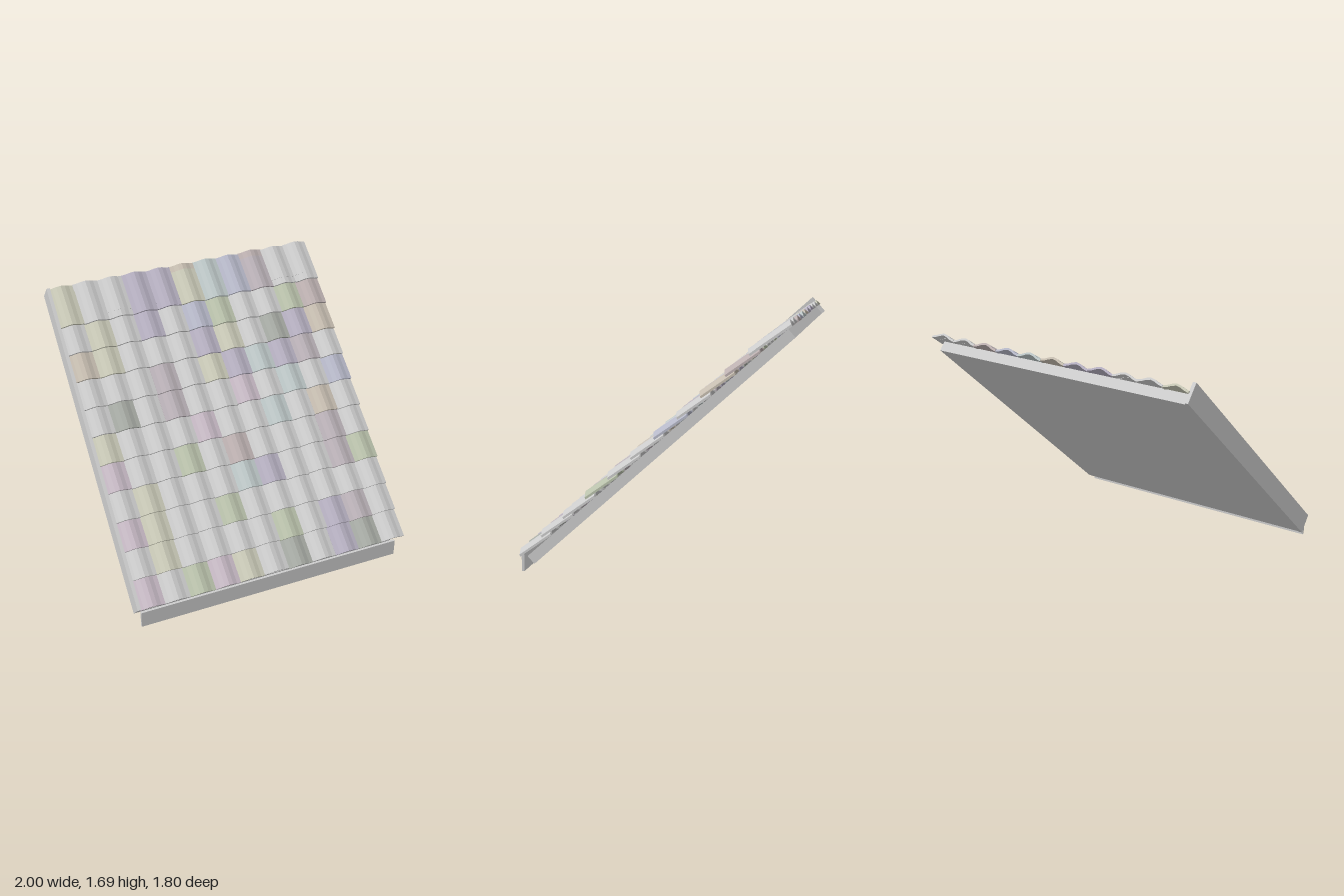
import * as THREE from 'three';

const PITCH = THREE.MathUtils.degToRad(42);
const COLS = 11, TILE_W = 0.18, TILE_L = 0.26, COURSE = 0.2;
const WAVE = 0.028, THICK = 0.014;

const TINTS = {
  w: 0xc9c9c7, y: 0xc8c8b6, g: 0xb9c1ab, p: 0xc6b9c4, v: 0xb5afc0,
  b: 0xb6b8c8, t: 0xc6bdb0, c: 0xbcc6c6, r: 0xbcb0b0, m: 0xb9b0b6, d: 0xa7aba4,
};

// tile tints, one string per course from eave to ridge
const COURSES = [
  'pwgpywdwvdw', 'wywwwwgwvmw', 'pywwgwwwwww', 'wywwwcvwwmg',
  'pwwgwrwwwmw', 'ywwwpwwcwtw', 'wdwmwwpwcwb', 'wwwmwyvcvmw',
  'tywwwvywdvt', 'wywvwbgwwgr', 'ywwvvycbmww', 'ywwvvtcbrww',
];

function seeded(seed) {
  return () => (seed = (seed * 16807) % 2147483647) / 2147483647;
}

function box(name, w, h, d, x, y, z) {
  const mesh = new THREE.Mesh(
    new THREE.BoxGeometry(w, h, d),
    new THREE.MeshStandardMaterial({ color: 0xcccccc })
  );
  mesh.name = name;
  mesh.position.set(x, y, z);
  return mesh;
}

// wavy cross-section pushed back along the slope; the crest sits at y = 0
function tileGeometry() {
  const steps = 6, w = TILE_W + 0.002, top = [];
  for (let i = 0; i <= steps; i++) {
    const u = i / steps;
    top.push(new THREE.Vector2((u - 0.5) * w, -WAVE / 2 * (1 + Math.cos(u * Math.PI * 2))));
  }
  const bottom = top.map((p) => new THREE.Vector2(p.x, p.y - THICK)).reverse();
  const geometry = new THREE.ExtrudeGeometry(new THREE.Shape([...top, ...bottom]), {
    depth: TILE_L, bevelEnabled: false,
  });
  return geometry.translate(0, 0, -TILE_L);
}

export function createModel() {
  const model = new THREE.Group();
  model.name = 'roofSection';

  // sloped frame: -z runs up the roof, y is the roof normal
  const slope = new THREE.Group();
  slope.name = 'slope';
  slope.position.set(0, 0.155, 0.892);
  slope.rotation.x = PITCH;
  model.add(slope);

  // deck and the board along the gable edge
  slope.add(box('deck', 1.895, 0.068, 2.265, -0.0275, -0.104, -1.1325));
  slope.add(box('gableBoard', 0.024, 0.14, 2.29, -0.988, -0.07, -1.145));

  // upright board under the eave
  model.add(box('eaveBoard', 1.895, 0.12, 0.018, -0.0275, 0.06, 0.877));

  // overlapping tile courses
  const rand = seeded(7);
  const geometry = tileGeometry();
  const materials = {};
  for (const key in TINTS) materials[key] = new THREE.MeshStandardMaterial({ color: TINTS[key] });
  const tiles = new THREE.Group();
  tiles.name = 'tiles';
  COURSES.forEach((tints, row) => {
    const course = new THREE.Group();
    course.name = 'tileCourse';
    // the last course is the short-lapped one at the ridge
    const ridge = row === COURSES.length - 1;
    course.position.set(0, ridge ? -0.006 : 0, ridge ? -2.05 : -row * COURSE);
    for (let col = 0; col < COLS; col++) {
      const tile = new THREE.Mesh(geometry, materials[tints[col]]);
      tile.name = 'tile';
      tile.position.set(
        -0.981 + TILE_W * (col + 0.5) + (col === COLS - 1 ? 0 : (rand() - 0.5) * 0.003),
        (rand() - 0.5) * 0.004, (rand() - 0.5) * 0.006
      );
      tile.rotation.x = -0.11;
      course.add(tile);
    }
    tiles.add(course);
  });
  slope.add(tiles);

  return model;
}
